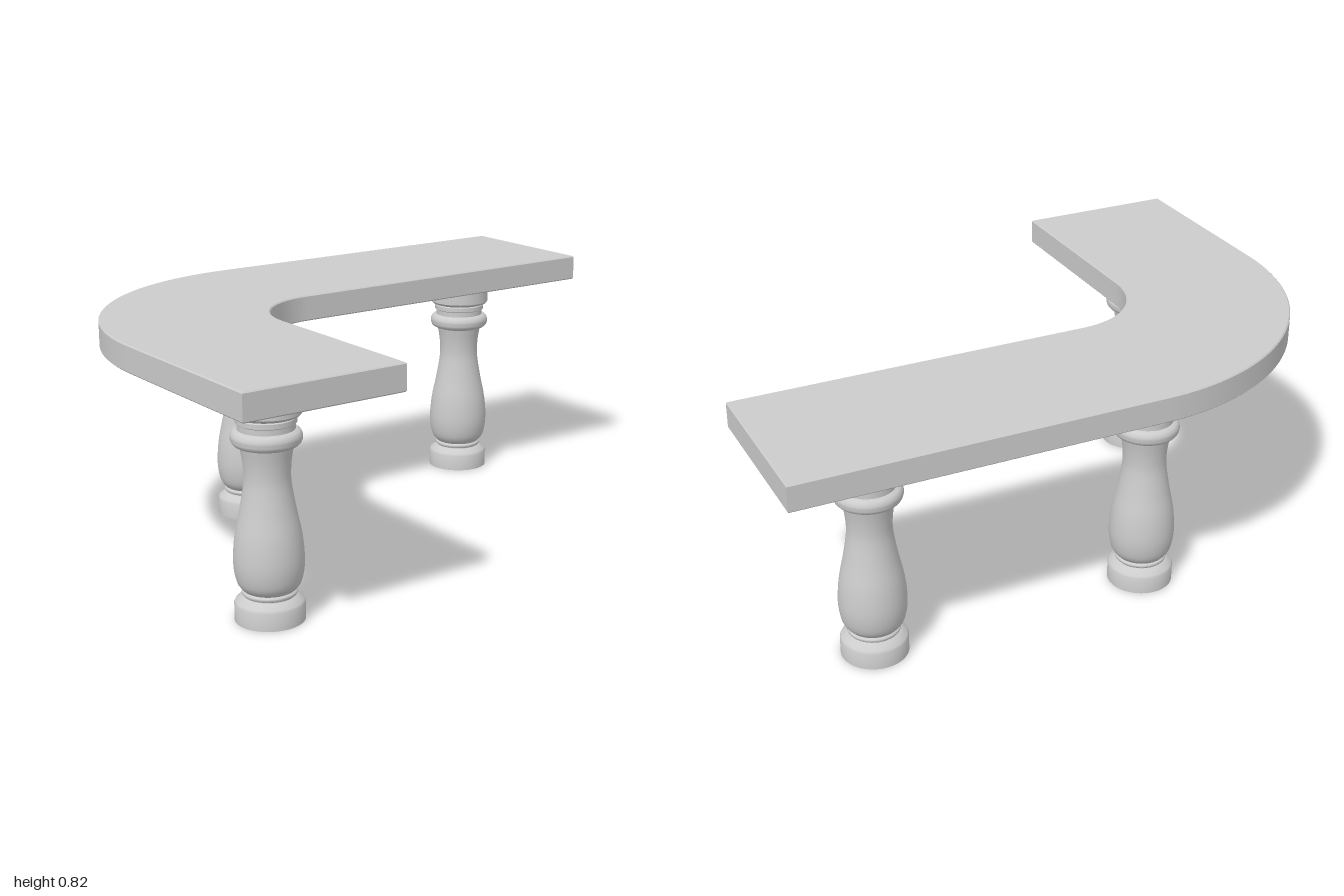
import * as THREE from 'three';
import { toCreasedNormals } from 'three/addons/utils/BufferGeometryUtils.js';

const material = new THREE.MeshStandardMaterial({ color: 0xcccccc });
const TOP = 0.817, UNDER = 0.73;

// L-shaped seat slab with a concentric rounded corner
function makeSeat() {
  const cx = -0.19, cz = 0.085, outer = 0.81, inner = 0.27, end = 0.725;
  const s = new THREE.Shape();
  s.moveTo(-1, end);
  s.lineTo(-1, cz);
  s.absarc(cx, cz, outer, Math.PI, Math.PI * 1.5, false);
  s.lineTo(1, -end);
  s.lineTo(1, cz - inner);
  s.lineTo(cx, cz - inner);
  s.absarc(cx, cz, inner, Math.PI * 1.5, Math.PI, true);
  s.lineTo(cx - inner, end);
  s.closePath();
  const b = 0.004;
  const geo = new THREE.ExtrudeGeometry(s, {
    depth: TOP - UNDER - 2 * b, curveSegments: 32,
    bevelEnabled: true, bevelSize: b, bevelThickness: b, bevelOffset: -b, bevelSegments: 1,
  });
  // shape y becomes z, extrusion runs downwards from the top
  geo.rotateX(Math.PI / 2);
  geo.translate(0, TOP - b, 0);
  const mesh = new THREE.Mesh(toCreasedNormals(geo, 0.5), material);
  mesh.name = 'seatSlab';
  return mesh;
}

// half-round moulding bulging from radius r to r + bulge between two heights
function bead(r, bulge, y0, y1, n = 10) {
  return Array.from({ length: n + 1 }, (_, i) => {
    const a = (i / n) * Math.PI;
    return new THREE.Vector2(r + bulge * Math.sin(a), (y0 + y1) / 2 - (y1 - y0) / 2 * Math.cos(a));
  });
}

// turned baluster profile: plinth, collar, belly, ring, necking, capital
function legGeometry() {
  const v = (x, y) => new THREE.Vector2(x, y);
  const belly = new THREE.SplineCurve([
    v(0.08, 0.098), v(0.098, 0.125), v(0.107, 0.185), v(0.101, 0.265),
    v(0.085, 0.345), v(0.073, 0.415), v(0.07, 0.455), v(0.073, 0.5), v(0.08, 0.542),
  ]).getPoints(32);
  const profile = [
    v(0, 0), v(0.107, 0), v(0.107, 0.055), v(0.103, 0.063), v(0.083, 0.075), v(0.077, 0.078),
    ...bead(0.077, 0.007, 0.08, 0.096, 6),
    ...belly,
    ...bead(0.086, 0.021, 0.545, 0.595),
    v(0.086, 0.612), v(0.091, 0.615), v(0.091, 0.63), v(0.087, 0.633),
    v(0.1, 0.637), v(0.107, 0.645), v(0.107, UNDER + 0.002), v(0, UNDER + 0.002),
  ];
  return toCreasedNormals(new THREE.LatheGeometry(profile, 40), 0.6);
}

export function createModel() {
  const group = new THREE.Group();
  group.name = 'curvedBench';
  group.add(makeSeat());
  const geo = legGeometry();
  const legs = { frontLeg: [-0.73, 0.405], cornerLeg: [-0.277, -0.455], sideLeg: [0.67, -0.455] };
  for (const [name, [x, z]] of Object.entries(legs)) {
    const leg = new THREE.Mesh(geo, material);
    leg.name = name;
    leg.position.set(x, 0, z);
    group.add(leg);
  }
  return group;
}
